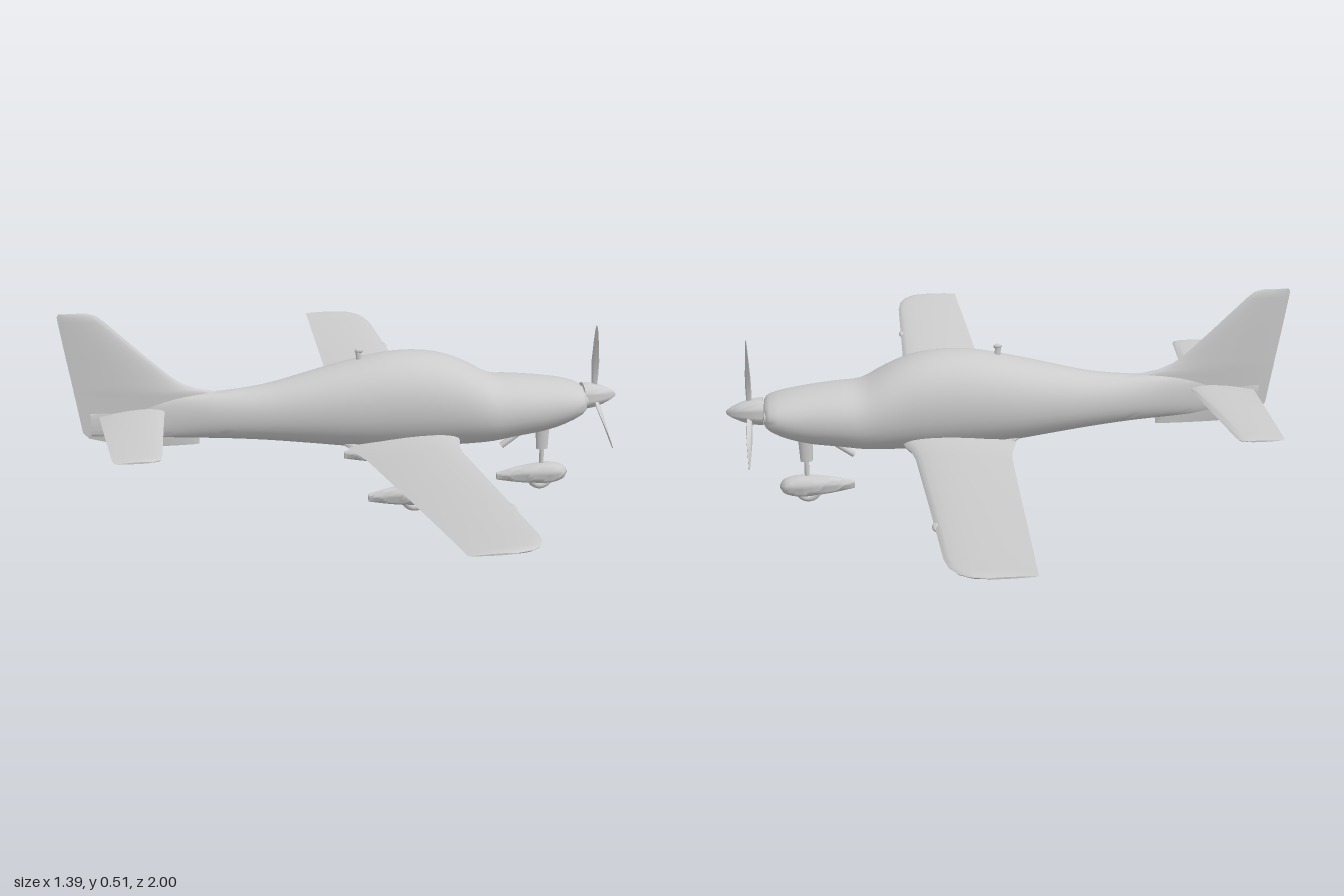
import * as THREE from 'three';
import { toCreasedNormals } from 'three/addons/utils/BufferGeometryUtils.js';

const material = new THREE.MeshStandardMaterial({ color: 0xcccccc, side: THREE.DoubleSide });
const V = (x, y, z) => new THREE.Vector3(x, y, z);

// Closed skin over a list of rings (equal point counts), capped at both ends
function loft(rings, crease = 0.8) {
  const n = rings[0].length, pts = rings.flat(), idx = [];
  for (let i = 0; i < rings.length - 1; i++) {
    for (let j = 0; j < n; j++) {
      const a = i * n + j, b = i * n + (j + 1) % n;
      idx.push(a, b, b + n, a, b + n, a + n);
    }
  }
  for (const end of [0, rings.length - 1]) {
    const c = pts.length;
    pts.push(rings[end].reduce((s, p) => s.add(p), V(0, 0, 0)).divideScalar(n));
    for (let j = 0; j < n; j++) {
      const a = end * n + j, b = end * n + (j + 1) % n;
      if (end) idx.push(a, b, c); else idx.push(b, a, c);
    }
  }
  // turn the skin outward if the enclosed volume is negative
  let volume = 0;
  for (let i = 0; i < idx.length; i += 3) {
    volume += pts[idx[i]].dot(pts[idx[i + 1]].clone().cross(pts[idx[i + 2]]));
  }
  if (volume < 0) idx.reverse();
  const geo = new THREE.BufferGeometry().setFromPoints(pts);
  geo.setIndex(idx);
  return toCreasedNormals(geo, crease);
}

// Ring of n points around the x axis at one station
function oval(x, bottom, top, halfWidth, n = 32, power = 0.93) {
  const bend = v => Math.sign(v) * Math.abs(v) ** power;
  return Array.from({ length: n }, (_, j) => {
    const a = j / n * Math.PI * 2;
    return V(x, (top + bottom) / 2 + bend(Math.sin(a)) * (top - bottom) / 2, bend(Math.cos(a)) * halfWidth);
  });
}

// Airfoil outline as [x, offset] pairs between trailing and leading edge
function airfoil(trail, lead, half, n = 24) {
  return Array.from({ length: n }, (_, j) => {
    const a = j / n * Math.PI * 2, u = (1 - Math.cos(a)) / 2;
    const t = half * 2.6 * Math.sqrt(u) * (1 - u) * (a < Math.PI ? 1 : -1);
    return [lead + (trail - lead) * u, t];
  });
}

// Smoothly resample station rows whose first column ascends
function smoothRows(rows, count) {
  const width = rows[0].length;
  const curve = new THREE.CubicInterpolant(rows.map(r => r[0]), rows.flat(), width, new Float32Array(width));
  const x0 = rows[0][0], x1 = rows[rows.length - 1][0];
  return Array.from({ length: count + 1 }, (_, i) => Array.from(curve.evaluate(x0 + (x1 - x0) * i / count)));
}

function rod(a, b, r0, r1 = r0, sides = 12) {
  const dir = b.clone().sub(a);
  const geo = new THREE.CylinderGeometry(r1, r0, dir.length(), sides);
  geo.applyQuaternion(new THREE.Quaternion().setFromUnitVectors(V(0, 1, 0), dir.normalize()));
  return geo.translate((a.x + b.x) / 2, (a.y + b.y) / 2, (a.z + b.z) / 2);
}

export function createModel() {
  const plane = new THREE.Group();
  plane.name = 'airplane';
  const add = (name, geo, parent = plane) => {
    const mesh = new THREE.Mesh(geo, material);
    mesh.name = name;
    parent.add(mesh);
    return mesh;
  };

  // Fuselage: x, bottom, top, half width
  const body = smoothRows([
    [-0.63, 0.205, 0.265, 0.005], [-0.5, 0.195, 0.29, 0.011], [-0.4, 0.19, 0.302, 0.025],
    [-0.3, 0.184, 0.304, 0.044], [-0.2, 0.175, 0.315, 0.064], [-0.1, 0.163, 0.338, 0.084],
    [0, 0.15, 0.362, 0.1], [0.1, 0.143, 0.38, 0.109], [0.2, 0.14, 0.378, 0.112],
    [0.26, 0.14, 0.363, 0.111], [0.31, 0.141, 0.34, 0.11], [0.36, 0.144, 0.313, 0.107],
    [0.42, 0.153, 0.307, 0.104], [0.5, 0.165, 0.298, 0.095], [0.56, 0.185, 0.287, 0.087],
    [0.585, 0.199, 0.279, 0.08],
  ], 60).map(r => oval(...r));
  body.push(oval(0.594, 0.206, 0.274, 0.07), oval(0.599, 0.213, 0.267, 0.056));
  add('fuselage', loft(body));

  // Fin with rudder and ventral strake: y, trailing x, leading x, half thickness
  add('fin', loft([
    [0.172, -0.53, -0.37, 0.004], [0.2, -0.635, -0.37, 0.007], [0.215, -0.65, -0.36, 0.008],
    [0.298, -0.664, -0.3, 0.012], [0.312, -0.667, -0.37, 0.012], [0.328, -0.669, -0.41, 0.011],
    [0.35, -0.673, -0.44, 0.01], [0.4, -0.682, -0.495, 0.009], [0.49, -0.697, -0.59, 0.006],
    [0.505, -0.699, -0.608, 0.005], [0.511, -0.695, -0.628, 0.002],
  ].map(([y, t, l, h]) => airfoil(t, l, h).map(([x, o]) => V(x, y, o)))));

  // Wings and tailplanes: z, y, trailing x, leading x, half thickness, trailing edge droop
  const wing = [
    [0.03, 0.17, -0.02, 0.275, 0.026, 0.012], [0.1, 0.172, -0.003, 0.262, 0.022, 0.012],
    [0.14, 0.174, 0.006, 0.25, 0.018, 0.012], [0.2, 0.178, 0.013, 0.243, 0.016, 0.01],
    [0.55, 0.206, 0.031, 0.235, 0.012, 0.005], [0.88, 0.231, 0.047, 0.228, 0.008, 0],
    [0.93, 0.235, 0.05, 0.221, 0.007, 0], [0.965, 0.238, 0.051, 0.207, 0.006, 0],
    [0.987, 0.24, 0.052, 0.185, 0.005, 0], [0.999, 0.241, 0.053, 0.15, 0.002, 0],
  ];
  const tail = [
    [0, 0.262, -0.565, -0.45, 0.008, 0], [0.03, 0.262, -0.611, -0.455, 0.008, 0],
    [0.2, 0.262, -0.604, -0.471, 0.007, 0], [0.36, 0.262, -0.597, -0.486, 0.005, 0],
    [0.378, 0.262, -0.595, -0.49, 0.004, 0], [0.388, 0.262, -0.59, -0.508, 0.002, 0],
  ];
  const panel = (rows, s) => loft(rows.map(([z, y, t, l, h, droop]) =>
    airfoil(t, l, h).map(([x, o]) => V(x, y + o - droop * (l - x) / (l - t), z * s))));

  // Wheel fairing: x, bottom, top, half width, wheel centred on x = 0, y = 0
  const pantRows = smoothRows([
    [-0.115, -0.004, 0.016, 0.004], [-0.07, -0.012, 0.026, 0.013], [-0.02, -0.018, 0.034, 0.022],
    [0.02, -0.02, 0.036, 0.025], [0.05, -0.014, 0.03, 0.022], [0.064, -0.006, 0.022, 0.014],
    [0.07, 0.004, 0.012, 0.004],
  ], 24);
  const wheelSet = (name, x, y, z) => {
    const set = new THREE.Group();
    set.name = name;
    add('wheelFairing', loft(pantRows.map(r => oval(...r, 20, 1))), set);
    add('wheel', new THREE.TorusGeometry(0.025, 0.01, 12, 32), set);
    add('hub', new THREE.CylinderGeometry(0.02, 0.02, 0.012, 20).rotateX(Math.PI / 2), set);
    set.position.set(x, y, z);
    plane.add(set);
  };

  for (const s of [1, -1]) {
    const side = s > 0 ? 'left' : 'right'; // mirrored about the centre line
    add(side + 'Wing', panel(wing, s));
    add(side + 'Tailplane', panel(tail, s));
    add(side + 'LandingLight', new THREE.SphereGeometry(0.012, 12, 8).scale(0.8, 0.5, 1.8).translate(0.228, 0.215, 0.685 * s));
    // sprung main leg, flattened and tapering to the wheel
    const leg = [[0.0, 0.165, 0.05, 0.022], [0.035, 0.145, 0.075, 0.015], [0.125, 0.077, 0.16, 0.009]];
    add(side + 'MainLeg', loft(leg.map(([x, y, z, r]) => Array.from({ length: 12 }, (_, j) => {
      const a = j / 12 * Math.PI * 2;
      return V(x + Math.cos(a) * r, y + Math.sin(a) * r * 0.25, (z + Math.sin(a) * r * 0.3) * s);
    }))));
    wheelSet(side + 'MainWheel', 0.135, 0.059, 0.165 * s);
    // exhaust stub under the cowling and air inlet lip beside the spinner
    add(side + 'Exhaust', rod(V(0.45, 0.18, 0.035 * s), V(0.385, 0.134, 0.035 * s), 0.008));
    add(side + 'AirInlet', new THREE.TorusGeometry(0.014, 0.003, 8, 24).rotateY(Math.PI / 2).scale(1, 0.8, 1).translate(0.596, 0.243, 0.052 * s));
  }

  // Nose gear
  wheelSet('noseWheel', 0.5, 0.035, 0);
  add('noseLegFairing', rod(V(0.502, 0.108, 0), V(0.502, 0.19, 0), 0.015, 0.02, 16).scale(1, 1, 0.6));
  add('noseLeg', rod(V(0.502, 0.06, 0), V(0.502, 0.115, 0), 0.006));

  // Propeller: spinner and three twisted blades
  const propeller = new THREE.Group();
  propeller.name = 'propeller';
  propeller.position.set(0, 0.243, 0);
  plane.add(propeller);
  const cone = [[0, 0.602], [0.034, 0.602], [0.034, 0.612], [0.031, 0.632], [0.024, 0.655], [0.014, 0.677], [0.006, 0.689], [0, 0.692]];
  const spinner = new THREE.LatheGeometry(cone.map(p => new THREE.Vector2(...p)), 28);
  add('spinner', toCreasedNormals(spinner.rotateZ(-Math.PI / 2), 0.8), propeller);
  add('shaft', rod(V(0.59, 0, 0), V(0.605, 0, 0), 0.025, 0.025, 20), propeller);
  const bladeRows = [[0.015, 0.006, 1.1, 0.005], [0.05, 0.009, 0.9, 0.004], [0.09, 0.012, 0.6, 0.003],
    [0.14, 0.01, 0.35, 0.002], [0.17, 0.006, 0.25, 0.0015], [0.181, 0.002, 0.2, 0.001]];
  for (let k = 0; k < 3; k++) {
    const blade = loft(bladeRows.map(([r, w, twist, t]) => Array.from({ length: 12 }, (_, j) => {
      const a = j / 12 * Math.PI * 2, c = Math.cos(a) * w, o = Math.sin(a) * t;
      return V(0.635 + c * Math.sin(twist) + o * Math.cos(twist), r, c * Math.cos(twist) - o * Math.sin(twist));
    })));
    add('blade', blade, propeller).rotation.x = k * Math.PI * 2 / 3;
  }

  // Small aerial on the cabin roof
  add('antenna', rod(V(0.03, 0.355, 0), V(0.025, 0.388, 0), 0.008, 0.007).scale(1, 1, 0.6));
  add('antennaCap', new THREE.SphereGeometry(0.009, 12, 8).scale(1.2, 0.7, 0.6).translate(0.027, 0.388, 0));
  return plane;
}
